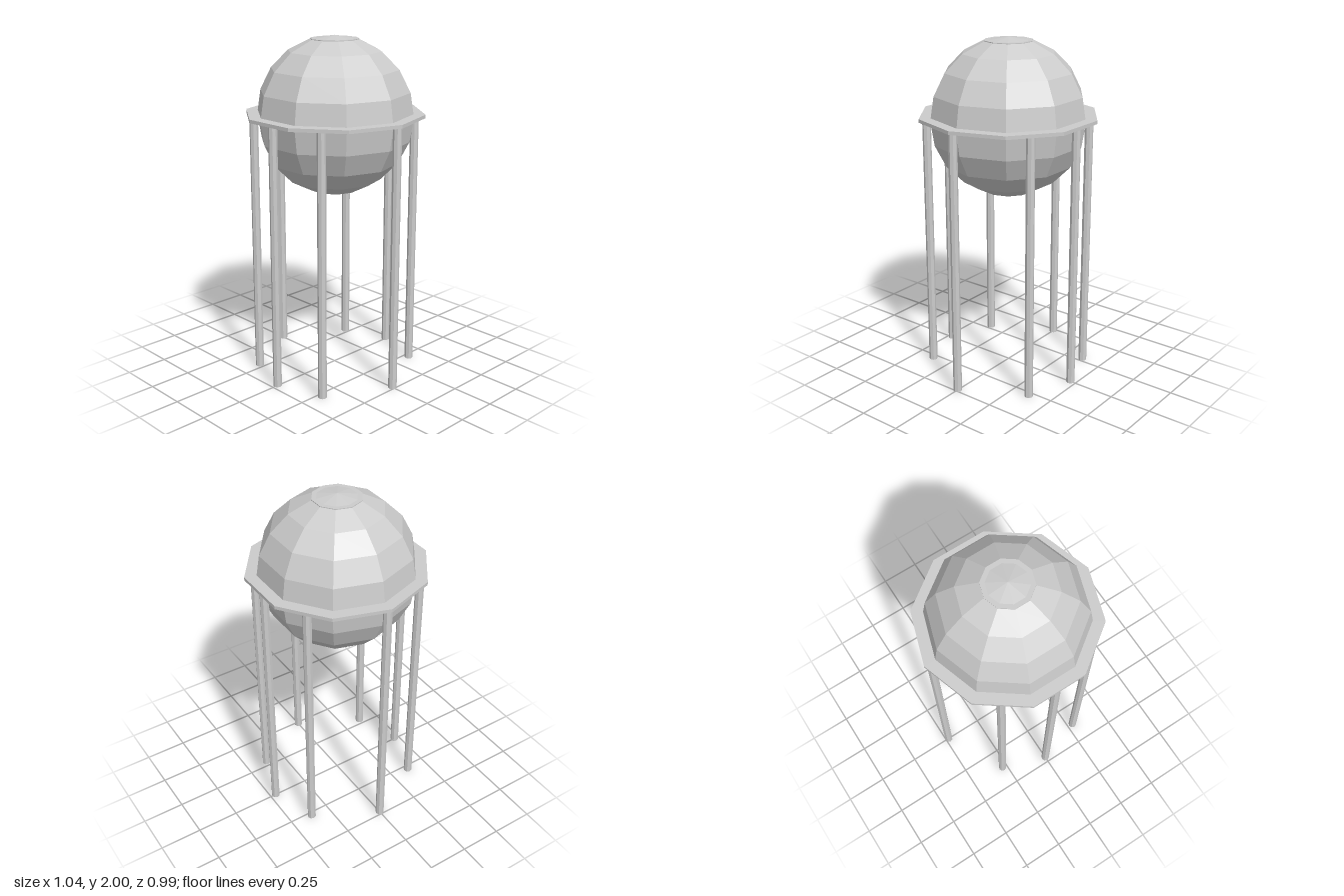
import * as THREE from 'three';

const SIDES = 10;

// Regular polygon points with a corner on +x
function polygon(radius) {
  return Array.from({ length: SIDES }, (_, i) => {
    const a = (i / SIDES) * Math.PI * 2;
    return new THREE.Vector2(Math.cos(a) * radius, Math.sin(a) * radius);
  });
}

export function createModel() {
  const model = new THREE.Group();
  model.name = 'sphericalTank';
  const material = new THREE.MeshStandardMaterial({ color: 0xcccccc, flatShading: true });

  function add(name, geometry, x, y, z, parent = model) {
    const mesh = new THREE.Mesh(geometry, material);
    mesh.name = name;
    mesh.position.set(x, y, z);
    parent.add(mesh);
    return mesh;
  }

  // Faceted spherical vessel
  add('tank', new THREE.SphereGeometry(0.455, SIDES, 10), 0, 1.545, 0);

  // Thin flat collar around the top cap
  add('topCollar', new THREE.CylinderGeometry(0.14, 0.14, 0.008, SIDES, 1, false, Math.PI / 2), 0, 1.978, 0);

  // Walkway ring at the equator
  const ringShape = new THREE.Shape(polygon(0.52));
  ringShape.holes.push(new THREE.Path(polygon(0.44).reverse()));
  const ring = new THREE.ExtrudeGeometry(ringShape, { depth: 0.02, bevelEnabled: false });
  ring.rotateX(-Math.PI / 2);
  add('walkway', ring, 0, 1.545, 0);

  // Eight slender legs under the walkway
  const legs = new THREE.Group();
  legs.name = 'legs';
  model.add(legs);
  const legHeight = 1.55;
  const legGeometry = new THREE.CylinderGeometry(0.025, 0.025, legHeight, 8);
  const spots = [
    [0.485, 0], [-0.48, 0], [0, 0.465], [0, -0.465],
    [0.285, 0.373], [-0.28, 0.367], [0.285, -0.368], [-0.275, -0.368],
  ];
  spots.forEach(([x, z], i) => add(`leg${i + 1}`, legGeometry, x, legHeight / 2, z, legs));

  return model;
}
